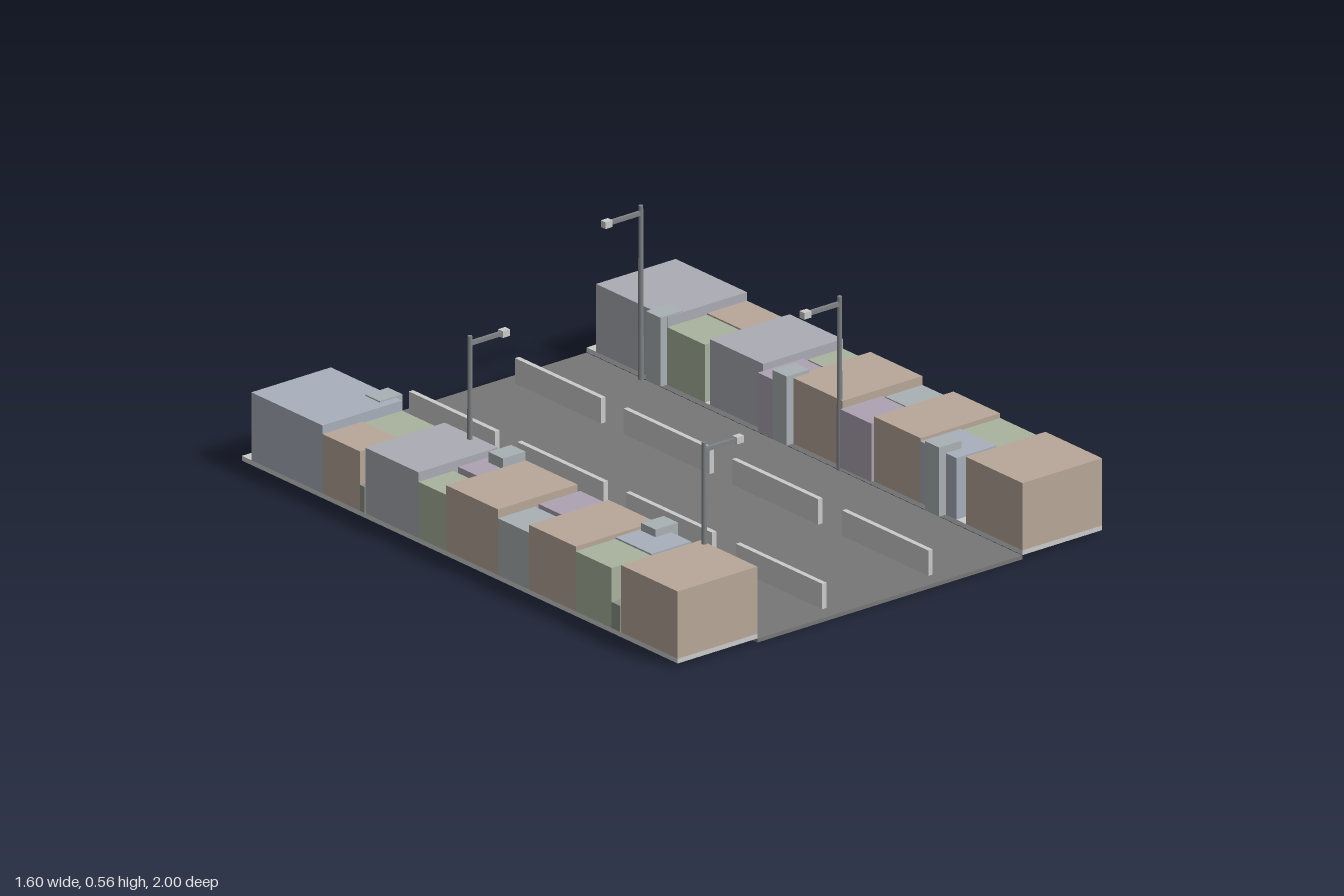
import * as THREE from 'three';

const mat = (color) => new THREE.MeshStandardMaterial({ color });
const M = {
  road: mat(0x777777), walk: mat(0xcccccc), brown: mat(0xb8a899), grey: mat(0xabacb4),
  blue: mat(0xa9b0bc), green: mat(0xaab39f), purple: mat(0xaea2b3), teal: mat(0xaab1b4),
  dark: mat(0x8d9488), pole: mat(0x808487), lamp: mat(0xcccccc),
};

// Box given by its extents on each axis
function box(parent, name, material, [x0, x1], [y0, y1], [z0, z1]) {
  const mesh = new THREE.Mesh(
    new THREE.BoxGeometry(Math.abs(x1 - x0), y1 - y0, z1 - z0), material);
  mesh.position.set((x0 + x1) / 2, (y0 + y1) / 2, (z0 + z1) / 2);
  mesh.name = name;
  parent.add(mesh);
  return mesh;
}

const WALK_TOP = 0.028;

// Blocks of one street side: material, inner x, outer x, z start, z end, top
const BLOCKS = [
  ['grey', 0.5, 0.8, -0.957, -0.63, 0.242],
  ['green', 0.5, 0.65, -0.63, -0.458, 0.21],
  ['brown', 0.65, 0.8, -0.63, -0.458, 0.215],
  ['grey', 0.5, 0.8, -0.434, -0.19, 0.235],
  ['purple', 0.48, 0.65, -0.19, -0.063, 0.213],
  ['green', 0.668, 0.8, -0.19, -0.063, 0.205],
  ['brown', 0.5, 0.8, -0.063, 0.175, 0.235],
  ['purple', 0.49, 0.647, 0.175, 0.318, 0.212],
  ['teal', 0.66, 0.8, 0.175, 0.318, 0.207],
  ['brown', 0.5, 0.8, 0.318, 0.532, 0.232],
  ['blue', 0.5, 0.65, 0.532, 0.697, 0.222],
  ['green', 0.65, 0.8, 0.532, 0.697, 0.217],
  ['brown', 0.5, 0.8, 0.74, 1, 0.24],
];

function streetSide(name, s, towerZ, crates) {
  const side = new THREE.Group();
  side.name = name;
  box(side, 'sidewalk', M.walk, [s * 0.5, s * 0.8], [0.013, WALK_TOP], [-1, 1]);
  BLOCKS.forEach(([m, x0, x1, z0, z1, top], i) => {
    // The rear corner house is bluer on the right side
    const material = i === 0 && s < 0 ? M.blue : M[m];
    box(side, 'building', material, [s * x0, s * x1], [WALK_TOP, top], [z0, z1]);
  });
  // Towers set against the street fronts
  for (const z of towerZ) {
    box(side, 'tower', M.teal, [s * 0.475, s * 0.56], [WALK_TOP, 0.246],
      [z - 0.033, z + 0.033]);
  }
  // Low boxes in the alleys
  for (const [z0, z1] of crates) {
    box(side, 'alleyBox', M.dark, [s * 0.73, s * 0.8], [WALK_TOP, 0.11], [z0, z1]);
  }
  return side;
}

// Street lamp with its arm reaching over the road
function streetLamp(x, z) {
  const lamp = new THREE.Group();
  lamp.name = 'streetLamp';
  const dir = -Math.sign(x);
  const pole = new THREE.Mesh(new THREE.CylinderGeometry(0.007, 0.009, 0.55, 8), M.pole);
  pole.name = 'lampPole';
  pole.position.y = 0.285;
  lamp.add(pole);
  box(lamp, 'lampArm', M.pole, [0, dir * 0.125], [0.53, 0.543], [-0.005, 0.005]);
  box(lamp, 'lampHead', M.lamp, [dir * 0.115, dir * 0.142], [0.526, 0.547], [-0.011, 0.011]);
  lamp.position.set(x, 0, z);
  return lamp;
}

export function createModel() {
  const model = new THREE.Group();
  model.name = 'cityStreet';
  box(model, 'road', M.road, [-0.5, 0.5], [0, 0.012], [-1, 1]);

  // Lane dividers
  for (const x of [-0.203, 0.197]) {
    for (const z of [-0.753, -0.255, 0.243, 0.748]) {
      box(model, 'laneDivider', M.walk, [x - 0.008, x + 0.008], [0.012, 0.092],
        [z - 0.198, z + 0.198]);
    }
  }

  model.add(streetSide('leftSide', 1, [-0.665, -0.085, 0.615], [[0.697, 0.72]]));
  model.add(streetSide('rightSide', -1, [-0.692, -0.127, 0.573],
    [[-0.458, -0.437], [0.697, 0.735]]));

  const lamps = [[0.493, -0.743], [0.502, 0.158], [-0.522, -0.292], [-0.509, 0.767]];
  for (const [x, z] of lamps) model.add(streetLamp(x, z));
  return model;
}
